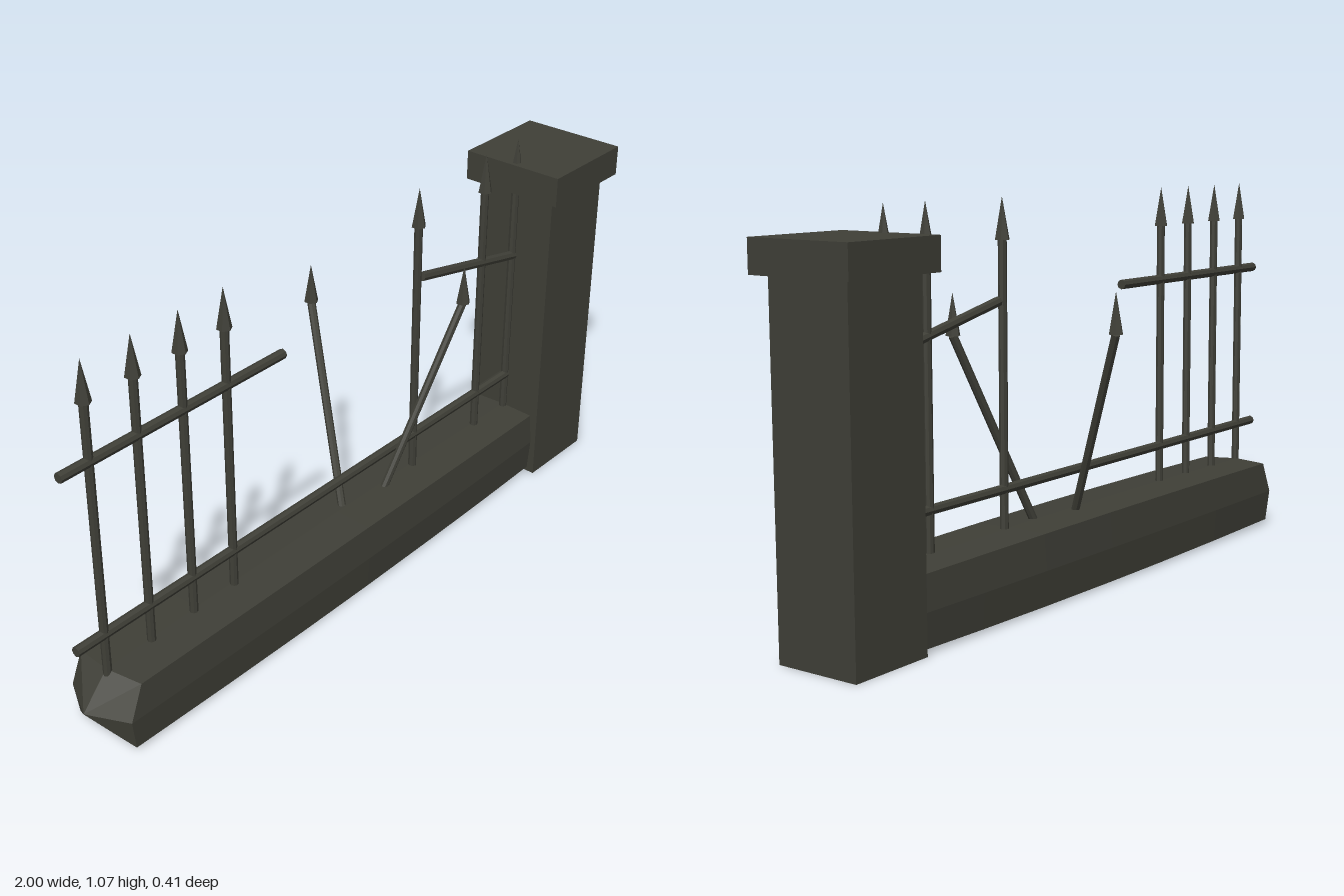
import * as THREE from 'three';

const stone = new THREE.MeshStandardMaterial({ color: 0x3f3f37, flatShading: true });
stone.name = 'dark grey';
const FENCE_Z = 0.055;

function add(parent, name, geometry, x = 0, y = 0, z = 0) {
  const mesh = new THREE.Mesh(geometry, stone);
  mesh.name = name;
  mesh.position.set(x, y, z);
  parent.add(mesh);
  return mesh;
}

// Straight round bar between two points
function bar(parent, name, a, b, radius) {
  const from = new THREE.Vector3(...a), to = new THREE.Vector3(...b);
  const dir = to.clone().sub(from);
  const mesh = add(parent, name, new THREE.CylinderGeometry(radius, radius, dir.length(), 8));
  mesh.position.copy(from).add(to).multiplyScalar(0.5);
  mesh.quaternion.setFromUnitVectors(new THREE.Vector3(0, 1, 0), dir.normalize());
}

// Bar with an upright spear point on top
function picket(parent, name, foot, top) {
  const group = new THREE.Group();
  group.name = name;
  bar(group, 'shaft', foot, top, 0.0115);
  add(group, 'spearPoint', new THREE.ConeGeometry(0.02, 0.11, 6), top[0], top[1] + 0.055, top[2]);
  parent.add(group);
}

// Low wall: slightly bulging eight-point sections with a pointed end
function wallGeometry() {
  const ring = [[1, 1], [0, 1.04], [-1, 1], [-1.07, 0], [-1, -1], [0, -1.04], [1, -1], [1.07, 0]];
  const endX = [-0.89, -0.91, -0.9, -0.93, -0.92, -0.92, -0.92, -0.935];
  const stations = [-0.9, -0.6, -0.3, -0.05, 0.25, 0.5, 0.8];
  const pos = [], index = [], n = ring.length;
  stations.forEach((x, s) => {
    const swell = 1 + 0.07 * (1 - ((x + 0.05) / 0.85) ** 2);
    ring.forEach(([z, y], i) =>
      pos.push(s === 0 ? endX[i] : x, 0.11 + y * 0.091 * swell, 0.05 + z * 0.102 * swell));
  });
  for (let s = 0; s < stations.length - 1; s++) {
    for (let i = 0; i < n; i++) {
      const a = s * n + i, b = s * n + (i + 1) % n;
      index.push(a, a + n, b, b, a + n, b + n);
    }
  }
  const tip = pos.length / 3;
  pos.push(-0.992, 0.115, 0.05, 0.8, 0.11, 0.05);
  const last = (stations.length - 1) * n;
  for (let i = 0; i < n; i++) {
    const j = (i + 1) % n;
    index.push(tip, i, j, tip + 1, last + j, last + i);
  }
  const geometry = new THREE.BufferGeometry();
  geometry.setAttribute('position', new THREE.Float32BufferAttribute(pos, 3));
  geometry.setIndex(index);
  geometry.computeVertexNormals();
  return geometry;
}

export function createModel() {
  const model = new THREE.Group();
  model.name = 'brokenFence';

  // Masonry
  add(model, 'lowWall', wallGeometry());
  add(model, 'pillar', new THREE.BoxGeometry(0.245, 0.91, 0.243), 0.844, 0.46, FENCE_Z);
  add(model, 'pillarCap', new THREE.BoxGeometry(0.305, 0.085, 0.307), 0.844, 0.9575, FENCE_Z);

  // Rails, the upper one broken in two
  bar(model, 'lowerRail', [-1, 0.315, FENCE_Z], [0.74, 0.315, FENCE_Z], 0.0135);
  bar(model, 'upperRail', [-1, 0.805, FENCE_Z], [-0.265, 0.805, FENCE_Z], 0.0135);
  bar(model, 'brokenRail', [0.29, 0.805, FENCE_Z], [0.74, 0.706, FENCE_Z], 0.0135);

  // Upright pickets
  for (const x of [-0.91, -0.762, -0.614, -0.467, 0.272, 0.567, 0.715]) {
    picket(model, 'picket', [x, 0.15, FENCE_Z], [x, 0.96, FENCE_Z]);
  }

  // Bent pickets
  picket(model, 'bentPicketBack', [-0.03, 0.15, 0.06], [0.112, 0.72, -0.185]);
  picket(model, 'bentPicketFront', [0.11, 0.15, 0.055], [0.375, 0.72, 0.135]);
  return model;
}
